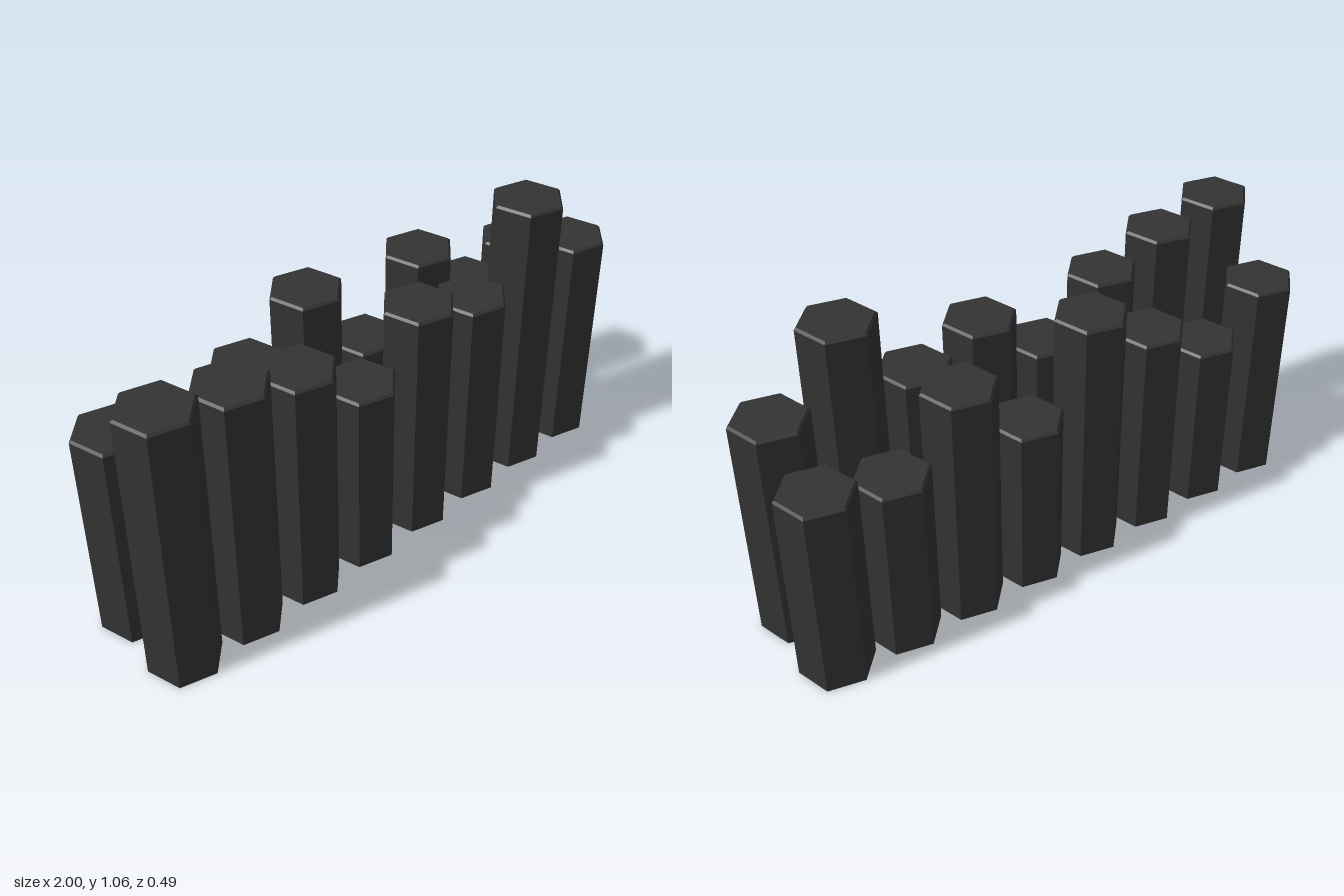
import * as THREE from 'three';

const SPACING = 0.2513;
const RADIUS = 0.1255;
const BEVEL = 0.008;

// Column heights, from -x to +x
const FRONT_HEIGHTS = [1.005, 0.957, 0.88, 0.70, 0.88, 0.797, 1.063, 0.823];
const BACK_HEIGHTS = [0.78, 0.63, 0.772, 0.928, 0.63, 0.866, 0.65, 0.712];

// Six-sided column: open base, bevelled top
function columnGeometry(height) {
  const profile = [
    new THREE.Vector2(RADIUS, 0),
    new THREE.Vector2(RADIUS, height - BEVEL),
    new THREE.Vector2(RADIUS - BEVEL, height),
    new THREE.Vector2(0, height),
  ];
  return new THREE.LatheGeometry(profile, 6, Math.PI / 12);
}

export function createModel() {
  const model = new THREE.Group();
  model.name = 'hexagonalColumns';

  const stone = new THREE.MeshStandardMaterial({
    color: 0x333333, flatShading: true, side: THREE.DoubleSide,
  });
  stone.name = 'darkStone';

  // A straight row of columns at a given depth
  function addRow(name, heights, z) {
    const row = new THREE.Group();
    row.name = name;
    heights.forEach((height, i) => {
      const column = new THREE.Mesh(columnGeometry(height), stone);
      column.name = `${name}Column${i + 1}`;
      column.position.set((i - (heights.length - 1) / 2) * SPACING, 0, z);
      row.add(column);
    });
    model.add(row);
  }

  addRow('frontRow', FRONT_HEIGHTS, SPACING / 2);
  addRow('backRow', BACK_HEIGHTS, -SPACING / 2);

  return model;
}
